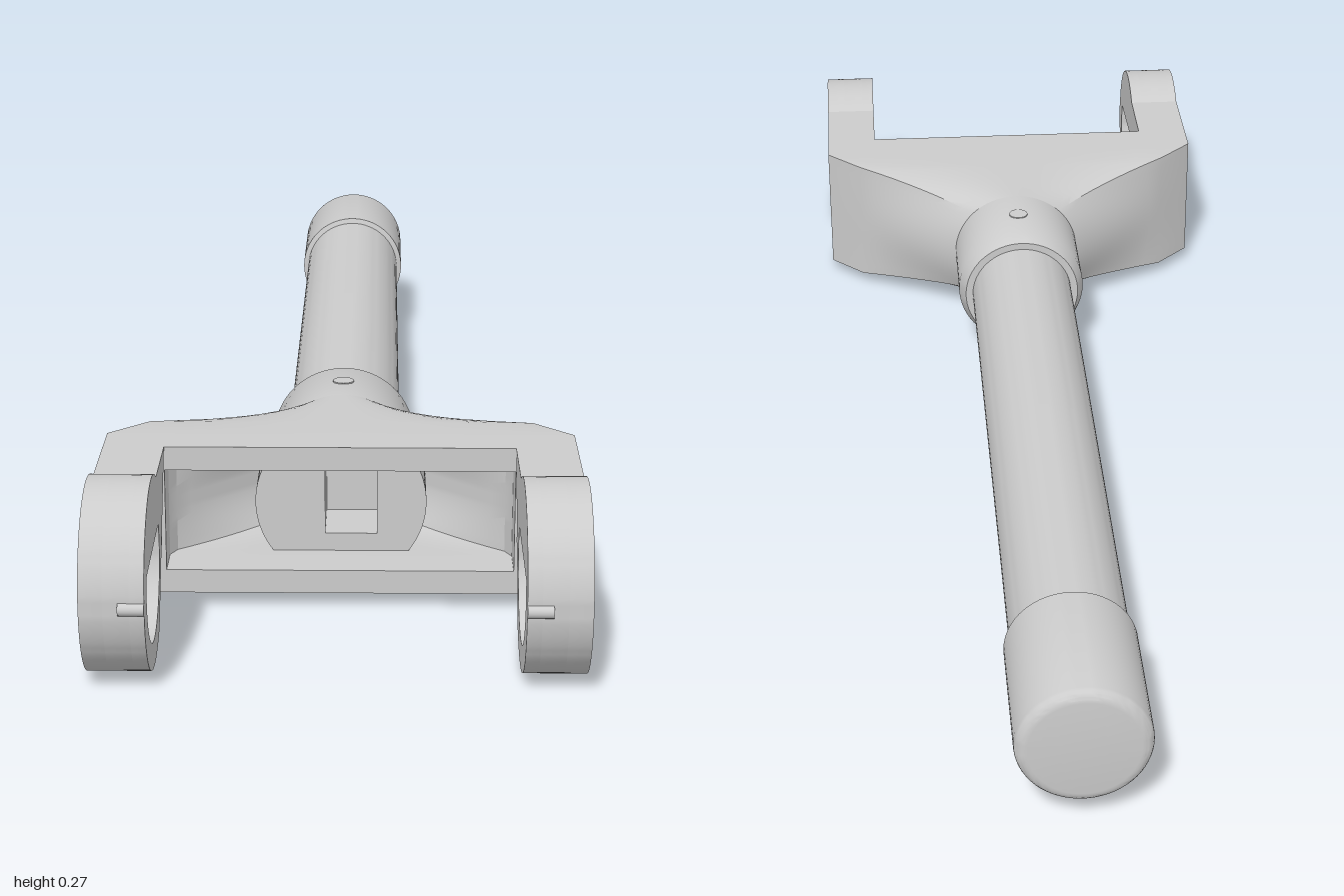
import * as THREE from 'three';
import { mergeGeometries, toCreasedNormals } from 'three/addons/utils/BufferGeometryUtils.js';

const AXIS_Y = 0.134;
const DISC_Z = 0.86, DISC_R = 0.133, BAR_H = 0.111;
const material = new THREE.MeshStandardMaterial({ color: 0xcccccc, side: THREE.DoubleSide });

function add(parent, name, geometry) {
  const mesh = new THREE.Mesh(geometry, material);
  mesh.name = name;
  parent.add(mesh);
  return mesh;
}

// Turned part around the z axis; profile points are [radius, z]
function turned(profile) {
  const points = profile.map(([r, z]) => new THREE.Vector2(r, z));
  const g = new THREE.LatheGeometry(points, 64).rotateX(Math.PI / 2);
  return toCreasedNormals(g, 0.5);
}

// Skin through sections { z, w, h, round }: round 0 is a rectangle, 1 an ellipse
function loft(sections, n = 64) {
  const pos = [], idx = [];
  sections.forEach(({ z, w, h, round }, i) => {
    for (let j = 0; j <= n; j++) {
      const a = (j / n) * Math.PI * 2, c = Math.cos(a), s = Math.sin(a);
      const k = 1 / Math.max(Math.abs(c), Math.abs(s));
      const m = k + (1 - k) * round;
      pos.push(w * c * m, h * s * m, z);
      if (i && j < n) {
        const q = i * (n + 1) + j, p = q - n - 1;
        idx.push(p, p + 1, q, p + 1, q + 1, q);
      }
    }
  });
  const g = new THREE.BufferGeometry();
  g.setAttribute('position', new THREE.Float32BufferAttribute(pos, 3));
  g.setIndex(idx);
  return toCreasedNormals(g, 0.4);
}

// Blend from a round section to a rectangular one
function blend(z0, r, z1, w, h, steps = 8) {
  return Array.from({ length: steps + 1 }, (_, i) => {
    const t = i / steps, mix = (a, b) => a + (b - a) * t;
    return { z: mix(z0, z1), w: mix(r, w), h: mix(r, h), round: 1 - t };
  });
}

function rect(path, x0, y0, x1, y1) {
  path.moveTo(x0, y0).lineTo(x1, y0).lineTo(x1, y1).lineTo(x0, y1).closePath();
  return path;
}

function extrude(shape, depth) {
  const g = new THREE.ExtrudeGeometry(shape, { depth, bevelEnabled: false, curveSegments: 32 });
  return toCreasedNormals(g, 0.5);
}

// One slice of a fork arm, outlined in (z, y) with round holes [z, y, radius]
function armSlice(x0, x1, side, holes) {
  const a = Math.asin(BAR_H / DISC_R);
  const shape = new THREE.Shape();
  shape.moveTo(0.66, -BAR_H);
  shape.absarc(DISC_Z, 0, DISC_R, -Math.PI + a, Math.PI - a, false);
  shape.lineTo(0.66, BAR_H);
  shape.closePath();
  for (const [z, y, r] of holes) {
    shape.holes.push(new THREE.Path().absarc(z, y, r, 0, Math.PI * 2, true));
  }
  return extrude(shape, x1 - x0).rotateY(-Math.PI / 2).translate(side > 0 ? x1 : -x0, 0, 0);
}

function forkArm(side) {
  const arm = new THREE.Group();
  arm.name = side > 0 ? 'leftForkArm' : 'rightForkArm';
  const boltHoles = [[DISC_Z, 0, 0.028]];
  for (let i = 0; i < 4; i++) {
    const a = Math.PI / 4 + (i * Math.PI) / 2;
    boltHoles.push([DISC_Z + 0.06 * Math.cos(a), 0.06 * Math.sin(a), 0.014]);
  }
  const screw = [0.73, 0, 0.014];
  // Outer cheek with countersink, drilled hub floor, and the rim around the pocket
  add(arm, 'armBody', mergeGeometries([
    armSlice(0.305, 0.337, side, [[0.73, 0, 0.03]]),
    armSlice(0.27, 0.305, side, [screw, ...boltHoles]),
    armSlice(0.25, 0.27, side, [screw, [DISC_Z, 0, 0.096]]),
  ]));
  // Small index pin let into the nose
  add(arm, 'indexPin', new THREE.CylinderGeometry(0.009, 0.009, 0.035, 20)
    .rotateZ(Math.PI / 2).translate(side * 0.2675, 0, 0.991));
  return arm;
}

export function createModel() {
  const model = new THREE.Group();
  model.name = 'forkedHandle';
  const body = new THREE.Group();
  body.name = 'handleAssembly';
  body.position.y = AXIS_Y;
  model.add(body);

  // Rear grip with rounded edges
  const grip = [[0, -1]];
  for (let i = 0; i <= 6; i++) {
    const a = (i / 6) * Math.PI / 2;
    grip.push([0.078 + 0.018 * Math.sin(a), -0.982 - 0.018 * Math.cos(a)]);
  }
  grip.push([0.096, -0.775], [0.087, -0.772]);
  add(body, 'grip', turned(grip));

  // Shaft and chamfered collar
  add(body, 'shaft', turned([[0.087, -0.8], [0.087, 0.3]]));
  add(body, 'collar', turned([[0.087, 0.25], [0.099, 0.25], [0.11, 0.272], [0.11, 0.412]]));
  for (const s of [-1, 1]) {
    add(body, 'collarScrew', new THREE.CylinderGeometry(0.016, 0.016, 0.004, 24)
      .translate(0, s * 0.1092, 0.34));
  }

  // Yoke: outer skin from collar to crossbar, and the hollow inside it
  add(body, 'yokeOuter', loft([
    ...blend(0.41, 0.11, 0.545, 0.28, BAR_H),
    { z: 0.6, w: 0.337, h: BAR_H, round: 0 },
    { z: 0.66, w: 0.337, h: BAR_H, round: 0 },
  ]));
  add(body, 'yokeInner', loft([
    ...blend(0.44, 0.09, 0.58, 0.24, 0.076),
    { z: 0.6, w: 0.25, h: 0.076, round: 0 },
    { z: 0.66, w: 0.25, h: 0.076, round: 0 },
  ].reverse()));
  const frame = rect(new THREE.Shape(), -0.337, -BAR_H, 0.337, BAR_H);
  frame.holes.push(rect(new THREE.Path(), -0.25, -0.076, 0.25, 0.076));
  add(body, 'yokeFrontFrame', new THREE.ShapeGeometry(frame).translate(0, 0, 0.66));

  // Core inside the yoke, round-sided with a rectangular socket
  const a = Math.asin(0.076 / 0.125);
  const coreShape = () => new THREE.Shape()
    .absarc(0, 0, 0.125, -a, a, false)
    .absarc(0, 0, 0.125, Math.PI - a, Math.PI + a, false);
  const socketed = coreShape();
  socketed.holes.push(rect(new THREE.Path(), -0.023, -0.049, 0.053, 0.053));
  add(body, 'core', mergeGeometries([
    extrude(coreShape(), 0.02).translate(0, 0, 0.46),
    extrude(socketed, 0.1).translate(0, 0, 0.48),
  ]));

  for (const side of [-1, 1]) body.add(forkArm(side));
  return model;
}
